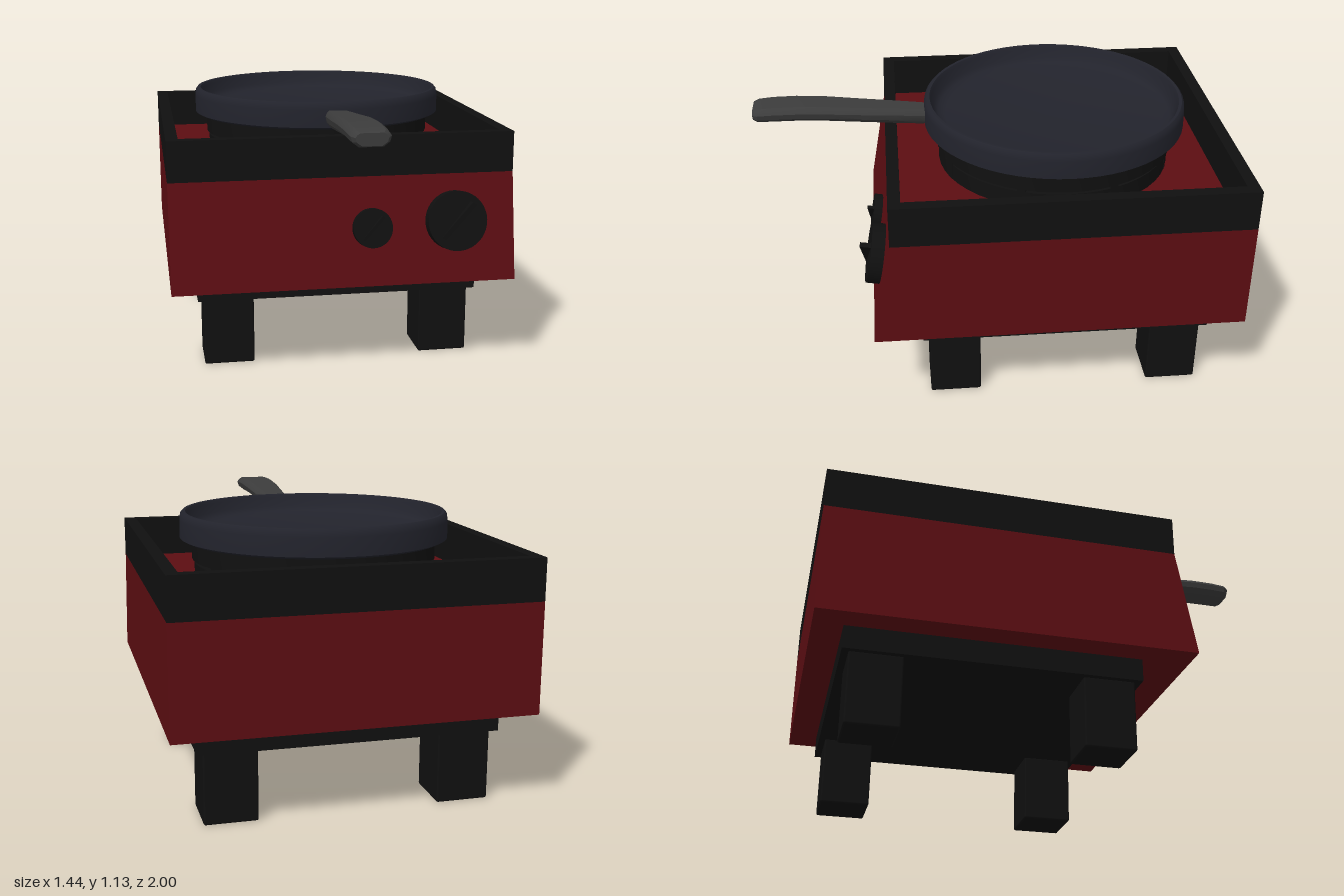
import * as THREE from 'three';
import { toCreasedNormals } from 'three/addons/utils/BufferGeometryUtils.js';
import { RoundedBoxGeometry } from 'three/addons/geometries/RoundedBoxGeometry.js';

const mat = (color) => new THREE.MeshStandardMaterial({ color });

export function createModel() {
  const root = new THREE.Group();
  const red = mat(0x5c0d12), black = mat(0x101010), panMat = mat(0x22232c), gripMat = mat(0x3c3c3c);

  const add = (name, geo, material, x = 0, y = 0, z = 0, parent = root) => {
    const m = new THREE.Mesh(geo, material);
    m.name = name;
    m.position.set(x, y, z);
    parent.add(m);
    return m;
  };
  const poly = (pts) => new THREE.Shape(pts.map(([x, y]) => new THREE.Vector2(x, y)));

  // Housing with a sloping front: side profile (z, y) swept across x
  const housing = new THREE.ExtrudeGeometry(
    poly([[-1, 0.39], [0.53, 0.39], [0.45, 0.84], [-1, 0.84]]), { depth: 1.44, bevelEnabled: false });
  housing.rotateY(-Math.PI / 2).translate(0.72, 0, 0);
  add('housing', housing, red);

  // Square rim around the cooktop
  const rimShape = poly([[-0.72, -0.45], [0.72, -0.45], [0.72, 1], [-0.72, 1]]);
  rimShape.holes.push(poly([[-0.67, -0.4], [-0.67, 0.95], [0.67, 0.95], [0.67, -0.4]]));
  const rim = new THREE.ExtrudeGeometry(rimShape, { depth: 0.17, bevelEnabled: false });
  rim.rotateX(-Math.PI / 2);
  add('rim', rim, black, 0, 0.84, 0);

  // Base plate and four legs
  add('basePlate', new THREE.BoxGeometry(1.21, 0.095, 1.21), black, 0, 0.3425, -0.275);
  for (const x of [-0.4725, 0.4725])
    for (const z of [0.195, -0.745])
      add('leg', new RoundedBoxGeometry(0.215, 0.3, 0.215, 2, 0.008), black, x, 0.15, z);

  // Burner: core, two support rings and radial bars under the pan
  const burner = new THREE.Group();
  burner.name = 'burner';
  burner.position.set(0, 0.84, -0.28);
  root.add(burner);
  const band = (r0, r1, y0, y1) => toCreasedNormals(new THREE.LatheGeometry(
    [[r0, y0], [r1, y0], [r1, y1], [r0, y1], [r0, y0]].map(([r, y]) => new THREE.Vector2(r, y)), 48), 0.6);
  add('burnerCore', new THREE.CylinderGeometry(0.42, 0.44, 0.13, 48), black, 0, 0.065, 0, burner);
  add('lowerRing', band(0.44, 0.5, 0, 0.07), black, 0, 0, 0, burner);
  add('upperRing', band(0.45, 0.51, 0.085, 0.17), black, 0, 0, 0, burner);
  for (let i = 0; i < 8; i++) {
    const a = (i + 0.5) * Math.PI / 4;
    const bar = add('supportBar', new THREE.BoxGeometry(0.3, 0.165, 0.035), black,
      Math.cos(a) * 0.35, 0.0825, -Math.sin(a) * 0.35, burner);
    bar.rotation.y = a;
  }

  // Shallow pan with a rounded lip
  const panProfile = [[0, 1.005], [0.54, 1.005], [0.56, 1.015], [0.56, 1.09], [0.556, 1.113],
    [0.547, 1.123], [0.535, 1.122], [0.528, 1.108], [0.518, 1.07], [0.5, 1.05], [0.47, 1.042], [0, 1.04]];
  const pan = new THREE.LatheGeometry(panProfile.map(([r, y]) => new THREE.Vector2(r, y)), 64);
  add('pan', toCreasedNormals(pan, 0.7), panMat, 0, 0, -0.28);

  // Handle: faceted cross-sections [z, half width, bottom, top] lofted along z
  const stations = [[0.25, 0.045, 1.02, 1.085], [0.29, 0.05, 1.02, 1.09], [0.4, 0.058, 1.03, 1.1],
    [0.55, 0.068, 1.045, 1.113], [0.7, 0.077, 1.06, 1.127], [0.82, 0.08, 1.066, 1.133],
    [0.92, 0.079, 1.066, 1.132], [0.98, 0.076, 1.065, 1.127], [1, 0.062, 1.072, 1.12]];
  const section = [[-0.6, 0], [0.6, 0], [0.92, 0.3], [1, 0.65], [0.88, 0.86], [0.7, 1],
    [-0.7, 1], [-0.88, 0.86], [-1, 0.65], [-0.92, 0.3]];
  const pos = [], idx = [], n = section.length, last = (stations.length - 1) * n;
  for (const [z, w, y0, y1] of stations)
    for (const [u, v] of section) pos.push(u * w, y0 + v * (y1 - y0), z);
  for (let s = 0; s < last; s += n)
    for (let i = 0; i < n; i++) {
      const j = (i + 1) % n;
      idx.push(s + i, s + j, s + n + j, s + i, s + n + j, s + n + i);
    }
  for (let i = 1; i < n - 1; i++) idx.push(0, i + 1, i, last, last + i, last + i + 1);
  const handle = new THREE.BufferGeometry();
  handle.setAttribute('position', new THREE.Float32BufferAttribute(pos, 3));
  handle.setIndex(idx);
  add('panHandle', toCreasedNormals(handle, 0.5), gripMat);

  // Control knobs, each with a diagonal wedge pointer, set on the sloping front
  const slope = Math.atan2(0.08, 0.45);
  const knob = (name, x, y, r, depth) => {
    const g = new THREE.Group();
    g.name = name;
    g.position.set(x, y, 0.53 - (y - 0.39) * 0.08 / 0.45);
    g.rotation.x = -slope;
    root.add(g);
    const disc = new THREE.CylinderGeometry(r, r, depth + 0.03, 40);
    disc.rotateX(Math.PI / 2);
    add('knobDisc', disc, black, 0, 0, depth / 2 - 0.015, g);
    const t = r * 0.16, h = r * 0.36, l = r * 0.76;
    const wedge = new THREE.ExtrudeGeometry(poly([[-l, -0.005], [l, -0.005], [l, h], [-l, 0.003]]),
      { depth: t, bevelEnabled: false });
    wedge.translate(0, 0, -t / 2).rotateX(Math.PI / 2).rotateZ(0.87);
    add('knobPointer', wedge, black, 0, 0, depth, g);
  };
  knob('smallKnob', 0.11, 0.63, 0.082, 0.035);
  knob('largeKnob', 0.463, 0.647, 0.125, 0.055);

  return root;
}
